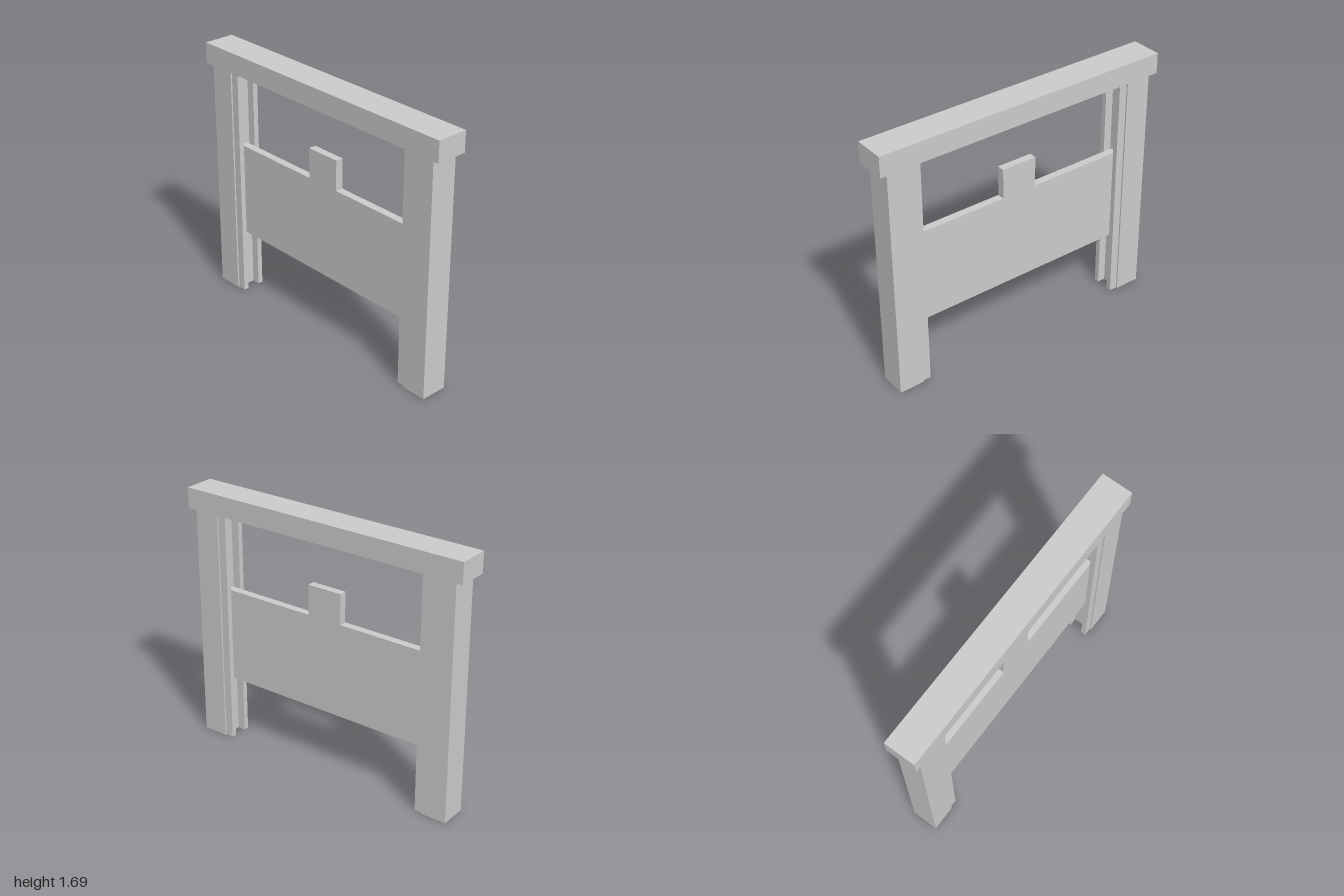
import * as THREE from 'three';

const material = new THREE.MeshStandardMaterial({ color: 0xcccccc, flatShading: true });

function addMesh(group, name, geometry) {
  const mesh = new THREE.Mesh(geometry, material);
  mesh.name = name;
  group.add(mesh);
  return mesh;
}

function outline(points) {
  return new THREE.Shape(points.map(([x, y]) => new THREE.Vector2(x, y)));
}

export function createModel() {
  const group = new THREE.Group();
  const postHeight = 1.555;

  // Top beam resting on both posts
  const beam = addMesh(group, 'topBeam', new THREE.BoxGeometry(0.206, 0.135, 2));
  beam.position.y = postHeight + 0.0675;

  // Grooved posts: half of the plan section (x, distance from centre), then mirrored in x
  const half = [[0.088, 0.95], [0.088, 0.78], [0.078, 0.78], [0.078, 0.726], [0.044, 0.726], [0.044, 0.78]];
  const section = [...half, ...half.map(([x, d]) => [-x, d]).reverse()];
  const postGeometry = new THREE.ExtrudeGeometry(outline(section), { depth: postHeight, bevelEnabled: false });
  postGeometry.rotateX(-Math.PI / 2); // section distance now runs towards -z

  addMesh(group, 'backPost', postGeometry);
  addMesh(group, 'frontPost', postGeometry).rotation.y = Math.PI;

  // Sliding panel with a central tab, held in the post grooves
  const panelShape = outline([
    [-0.775, 0.415], [0.775, 0.415], [0.775, 1.04], [0.12, 1.04],
    [0.12, 1.24], [-0.12, 1.24], [-0.12, 1.04], [-0.775, 1.04],
  ]);
  const thickness = 0.05;
  const panelGeometry = new THREE.ExtrudeGeometry(panelShape, { depth: thickness, bevelEnabled: false });
  panelGeometry.translate(0, 0, -thickness / 2);
  panelGeometry.rotateY(Math.PI / 2);
  addMesh(group, 'slidingPanel', panelGeometry);

  return group;
}
